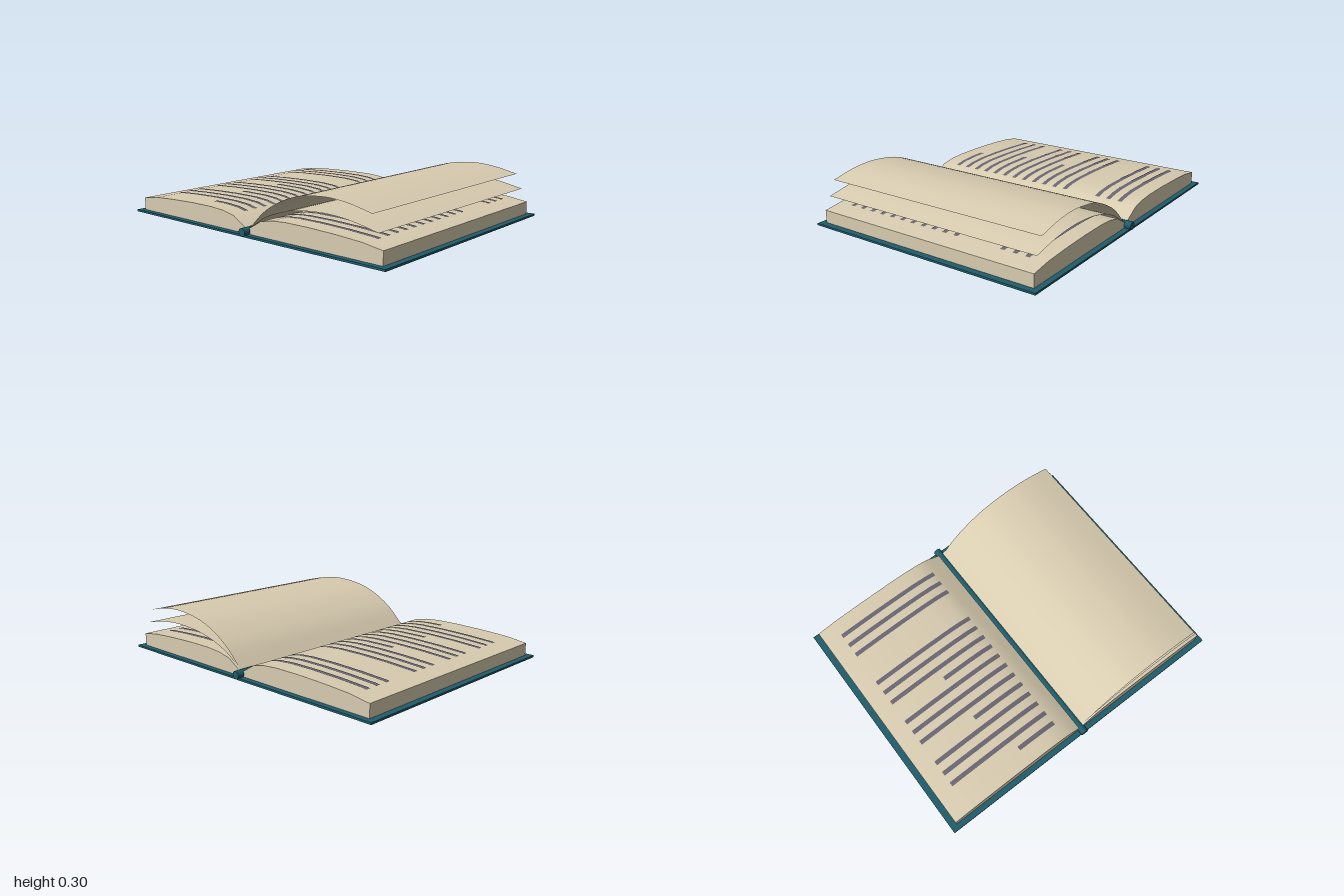
import * as THREE from 'three';
import { toCreasedNormals } from 'three/addons/utils/BufferGeometryUtils.js';

const paper = new THREE.MeshStandardMaterial({ color: 0xd8ccb0 });
const sheetPaper = new THREE.MeshStandardMaterial({ color: 0xd8ccb0, side: THREE.DoubleSide });
const ink = new THREE.MeshStandardMaterial({ color: 0x6a6672, side: THREE.DoubleSide });
const cloth = new THREE.MeshStandardMaterial({ color: 0x1f5c6b });

// Upper outline of a page block, from the fold outwards
const profile = [[0, 0.04], [0.03, 0.053], [0.11, 0.1], [0.2, 0.118], [0.3, 0.125],
  [0.47, 0.125], [0.66, 0.119], [0.83, 0.109], [0.96, 0.09]];

function pageHeight(x) {
  const i = Math.max(1, profile.findIndex(p => p[0] >= x));
  const [x0, y0] = profile[i - 1], [x1, y1] = profile[i];
  return y0 + (y1 - y0) * (x - x0) / (x1 - x0);
}

// Thin surface that sweeps a line of [x, y] points (x increasing) along z
function strip(points, z0, z1) {
  const pos = [], index = [];
  points.forEach(([x, y], i) => {
    pos.push(x, y, z0, x, y, z1);
    if (i) {
      const a = 2 * i - 2;
      index.push(a, a + 1, a + 2, a + 1, a + 3, a + 2);
    }
  });
  const g = new THREE.BufferGeometry();
  g.setAttribute('position', new THREE.Float32BufferAttribute(pos, 3));
  g.setIndex(index);
  g.computeVertexNormals();
  return g;
}

export function createModel() {
  const book = new THREE.Group();
  book.name = 'openBook';
  const add = (name, geometry, material, parent = book) => {
    const mesh = new THREE.Mesh(geometry, material);
    mesh.name = name;
    parent.add(mesh);
    return mesh;
  };

  // Printed line lying on a page, following its curve
  const textLine = (side, z, outer, parent) => {
    const xs = [0.13, ...profile.map(p => p[0]).filter(x => x > 0.13 && x < outer), outer];
    const points = xs.map(x => [side * x, pageHeight(x) + 0.003]);
    if (side < 0) points.reverse();
    add('textLine', strip(points, z - 0.014, z + 0.014), ink, parent);
  };

  for (const side of [-1, 1]) {
    const label = side > 0 ? 'left' : 'right';

    // Cover board
    add(label + 'Cover', new THREE.BoxGeometry(1, 0.012, 1.56), cloth)
      .position.set(side * 0.5, 0.006, 0);

    // Page block
    const shape = new THREE.Shape();
    shape.moveTo(0, 0.012);
    profile.forEach(([x, y]) => shape.lineTo(side * x, y));
    shape.lineTo(side * 0.96, 0.012);
    const block = new THREE.ExtrudeGeometry(shape, { depth: 1.49, bevelEnabled: false });
    block.translate(0, 0, -0.745);
    add(label + 'PageBlock', toCreasedNormals(block, 0.5), paper);

    // Text: evenly spaced rows with a gap after the first three
    const text = new THREE.Group();
    text.name = label + 'PageText';
    book.add(text);
    const shortRows = side < 0 ? { 8: 0.5, 12: 0.5, 16: 0.4 } : {};
    for (let row = 0; row < 17; row++) {
      if (row > 2 && row < (side < 0 ? 5 : 6)) continue;
      textLine(side, (row - 8) * 0.0787, shortRows[row] ?? 0.85, text);
    }
  }

  // Spine rod in the fold
  const spine = new THREE.CylinderGeometry(0.025, 0.025, 1.574, 12);
  spine.rotateX(Math.PI / 2);
  add('spine', spine, cloth).position.y = 0.028;

  // Two loose sheets arching above the block
  const sheets = {
    upperSheet: [[0.01, 0.04], [0.15, 0.17], [0.34, 0.265], [0.55, 0.3], [0.72, 0.293], [0.885, 0.26]],
    lowerSheet: [[0.01, 0.04], [0.15, 0.132], [0.34, 0.193], [0.55, 0.215], [0.74, 0.205], [0.925, 0.17]],
  };
  for (const [name, pts] of Object.entries(sheets)) {
    const curve = new THREE.SplineCurve(pts.map(p => new THREE.Vector2(...p)));
    add(name, strip(curve.getPoints(30).map(p => [p.x, p.y]), -0.738, 0.738), sheetPaper);
  }
  return book;
}
